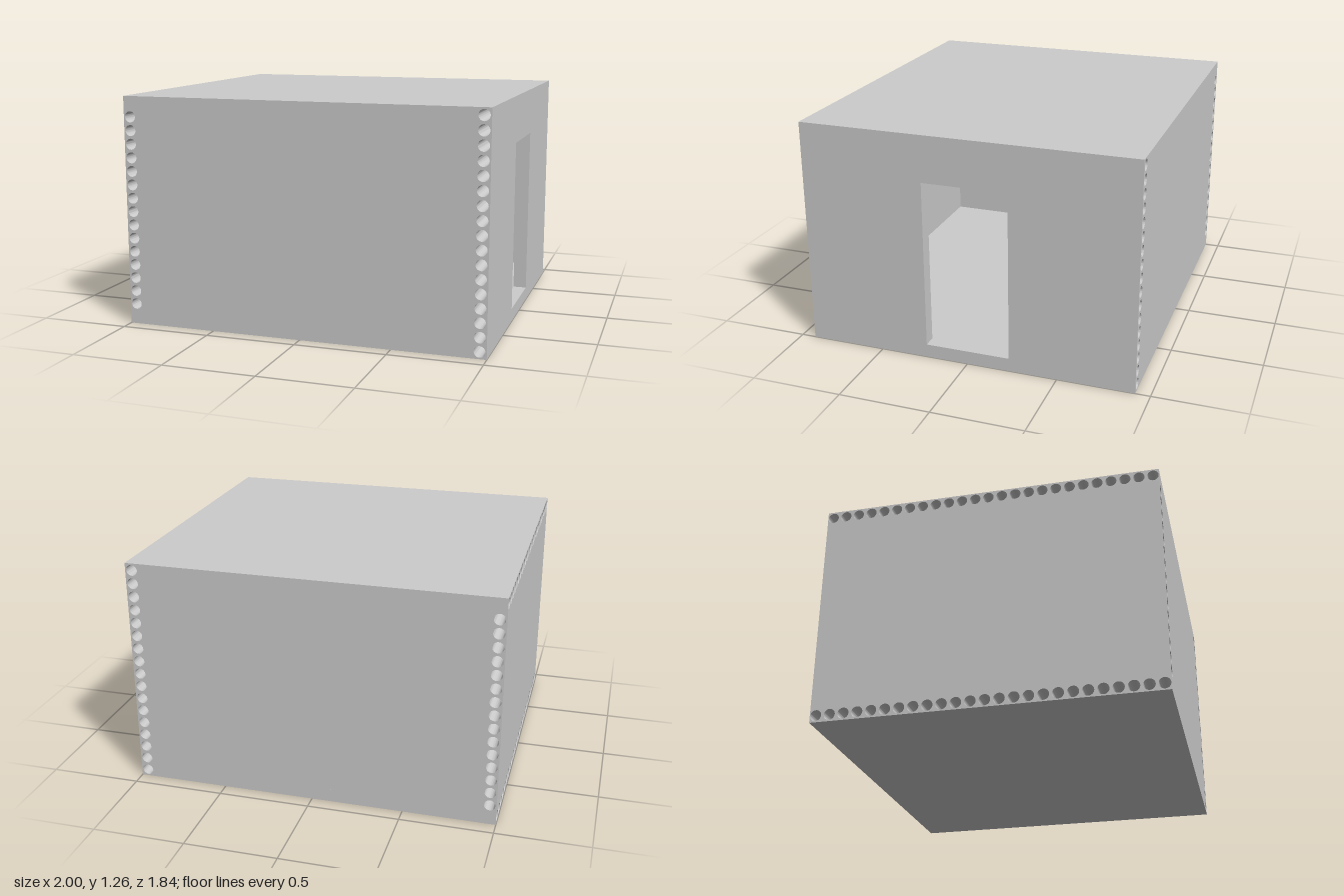
import * as THREE from 'three';
import { toCreasedNormals } from 'three/addons/utils/BufferGeometryUtils.js';

const W = 2, H = 1.26, D = 1.84;       // outer size
const T = 0.074;                       // panel thickness and hole pitch
const FT = 0.085;                      // front and back wall thickness
const R = 0.03;                        // core hole radius
const DOOR = { half: 0.235, bottom: T, top: 1.004, lip: 0.01 };

const material = new THREE.MeshStandardMaterial({ color: 0xcccccc });

// Centres of a row of evenly spaced holes
const row = (count, middle) =>
  Array.from({ length: count }, (_, i) => middle + (i - (count - 1) / 2) * T);

// Rectangular section with round core holes, given as [x, y] centres
function section(x0, x1, y0, y1, holes) {
  const shape = new THREE.Shape([
    new THREE.Vector2(x0, y0), new THREE.Vector2(x1, y0),
    new THREE.Vector2(x1, y1), new THREE.Vector2(x0, y1),
  ]);
  for (const [x, y] of holes) {
    shape.holes.push(new THREE.Path().absarc(x, y, R, 0, Math.PI * 2, true));
  }
  return shape;
}

// Section swept along z from z0 to z1
function sweep(shape, z0, z1) {
  const geo = new THREE.ExtrudeGeometry(shape, { depth: z1 - z0, bevelEnabled: false, curveSegments: 20 });
  geo.translate(0, 0, z0);
  return toCreasedNormals(geo, 0.6);
}

export function createModel() {
  const model = new THREE.Group();
  model.name = 'hollowCoreRoom';
  const add = (name, geo, parent = model) => {
    const mesh = new THREE.Mesh(geo, material);
    mesh.name = name;
    parent.add(mesh);
    return mesh;
  };
  const box = (name, x0, x1, y0, y1, z0, z1, parent) => add(name,
    new THREE.BoxGeometry(x1 - x0, y1 - y0, z1 - z0)
      .translate((x0 + x1) / 2, (y0 + y1) / 2, (z0 + z1) / 2), parent);

  // Floor and ceiling slabs, cores running along x and open at the -x end
  for (const [name, y0] of [['floorSlab', 0], ['ceilingSlab', H - T]]) {
    const holes = row(25, 0).filter((z) => Math.abs(z) + R < D / 2).map((z) => [z, y0 + T / 2]);
    const geo = sweep(section(-D / 2, D / 2, y0, y0 + T, holes), -W / 2, W / 2 - T);
    add(name, geo.rotateY(Math.PI / 2));
  }

  // Plain wall between the slabs, cores running along z
  const xr = -W / 2;
  add('rightWall', sweep(
    section(xr, xr + T, T, H - T, row(15, H / 2).map((y) => [xr + T / 2, y])), -D / 2, D / 2));

  // Solid front and back walls
  const xi = W / 2 - T;
  box('frontWall', -xi, xi, T, H - T, D / 2 - FT, D / 2);
  box('backWall', -xi, xi, T, H - T, -D / 2, -D / 2 + FT);

  // Full-height wall with a doorway
  const doorWall = new THREE.Group();
  doorWall.name = 'doorWall';
  model.add(doorWall);
  const xm = W / 2 - T / 2;
  const cores = row(17, H / 2).map((y) => [xm, y]);
  const inner = DOOR.half + DOOR.lip;
  const sideSection = section(xi, W / 2, 0, H, cores);
  add('frontDoorPier', sweep(sideSection, inner, D / 2), doorWall);
  add('backDoorPier', sweep(sideSection, -D / 2, -inner), doorWall);

  // Sill and lintel; the lintel keeps the upper half of the core it cuts
  add('doorSill', sweep(section(xi, W / 2, 0, DOOR.bottom, cores.slice(0, 1)), -inner, inner), doorWall);
  const lintel = section(xi, W / 2, DOOR.top, H, cores.filter(([, y]) => y - R > DOOR.top));
  const half = new THREE.Path();
  half.absarc(xm, DOOR.top + 0.002, R, 0, Math.PI, false);
  half.closePath();
  lintel.holes.push(half);
  add('doorLintel', sweep(lintel, -inner, inner), doorWall);

  // Jambs closing the cores beside the doorway
  box('frontJamb', xi, W / 2, DOOR.bottom, DOOR.top, DOOR.half, inner, doorWall);
  box('backJamb', xi, W / 2, DOOR.bottom, DOOR.top, -inner, -DOOR.half, doorWall);

  return model;
}
